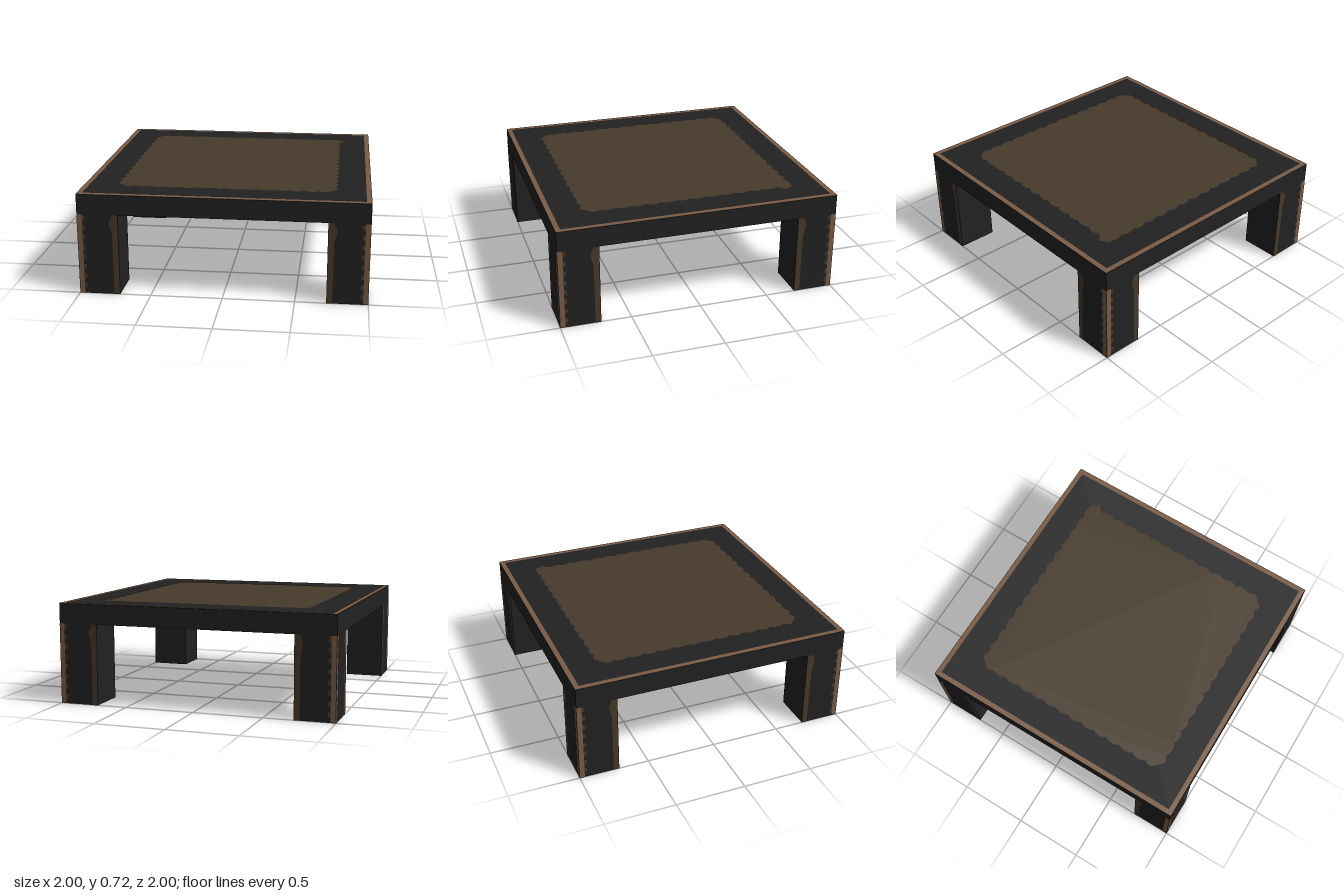
import * as THREE from 'three';

const HEIGHT = 0.718, UNDER = 0.576, LEG = 0.285, EDGE = 0.036, LIFT = 0.002;

export function createModel() {
  const black = new THREE.MeshStandardMaterial({ color: 0x222222, name: 'black' });
  const brown = new THREE.MeshStandardMaterial({ color: 0x473a2b, name: 'dark brown' });
  const tan = new THREE.MeshStandardMaterial({ color: 0x7a5c46, name: 'light brown' });
  const table = new THREE.Group();
  table.name = 'table';

  const add = (parent, name, geometry, material, x = 0, y = 0, z = 0) => {
    const mesh = new THREE.Mesh(geometry, material);
    mesh.name = name;
    mesh.position.set(x, y, z);
    parent.add(mesh);
    return mesh;
  };
  const face = (points) =>
    new THREE.ShapeGeometry(new THREE.Shape(points.map(([x, y]) => new THREE.Vector2(x, y))));

  // Slab
  add(table, 'tableTop', new THREE.BoxGeometry(2, HEIGHT - UNDER, 2), black, 0, (HEIGHT + UNDER) / 2, 0);

  // Thin frame round the slab
  const square = (r) => [[-r, -r], [r, -r], [r, r], [-r, r]].map(([x, y]) => new THREE.Vector2(x, y));
  const frame = new THREE.Shape(square(1));
  frame.holes.push(new THREE.Path(square(1 - EDGE)));
  const frameGeometry = new THREE.ShapeGeometry(frame);

  // Centre panel with scalloped edges and clipped corners
  const panel = [];
  const teeth = 13, pitch = 1.4 / teeth;
  for (let side = 0; side < 4; side++) {
    const a = side * Math.PI / 2, c = Math.cos(a), s = Math.sin(a);
    const put = (u, r) => panel.push([r * c - u * s, r * s + u * c]);
    for (let i = 0; i < teeth; i++) {
      const u = -0.7 + i * pitch;
      put(u, 0.77);
      put(u + pitch * 0.25, 0.766);
      put(u + pitch * 0.5, 0.752);
      put(u + pitch * 0.75, 0.766);
    }
    put(0.7, side === 0 ? 0.803 : 0.77);
    if (side === 0) put(0.76, 0.765);
  }
  const panelGeometry = face(panel);

  for (const [name, y, turn] of [['top', HEIGHT + LIFT, -1], ['underside', UNDER - LIFT, 1]]) {
    add(table, name + 'Frame', frameGeometry, tan, 0, y, 0).rotation.x = turn * Math.PI / 2;
    add(table, name + 'Panel', panelGeometry, brown, 0, y, 0).rotation.x = turn * Math.PI / 2;
  }

  // Corner legs with brown feet
  const mid = 1 - LEG / 2;
  for (const x of [-mid, mid]) for (const z of [-mid, mid]) {
    add(table, 'leg', new THREE.BoxGeometry(LEG, UNDER - LIFT, LEG), black, x, (UNDER + LIFT) / 2, z);
    add(table, 'foot', new THREE.BoxGeometry(LEG, LIFT, LEG), brown, x, LIFT / 2, z);
  }

  // Painted strips on the outer leg faces, repeated on all four sides
  for (let side = 0; side < 4; side++) {
    const trim = new THREE.Group();
    trim.name = 'legTrim';
    trim.rotation.y = side * Math.PI / 2;
    table.add(trim);
    for (const sx of [-1, 1]) {
      const strip = (name, points, material) =>
        add(trim, name, face(points.map(([u, y]) => [sx * (1 - u), y])), material, 0, 0, 1 + LIFT);
      strip('outerStrip', [[0, 0], [EDGE, 0], [EDGE, UNDER], [0, UNDER]], tan);
      strip('innerStrip', [[LEG, 0], [0.245, 0], [0.243, 0.44], [0.226, 0.5], [0.226, 0.53],
        [0.246, UNDER], [LEG, UNDER]], brown);
      for (let i = 0; i < 8; i++) {
        const y = 0.055 + i * 0.071;
        const t = 0.017;
        strip('tooth', [[EDGE, y - t], [0.052, y - t], [0.058, y], [0.052, y + t], [EDGE, y + t]], brown);
      }
    }
  }
  return table;
}
